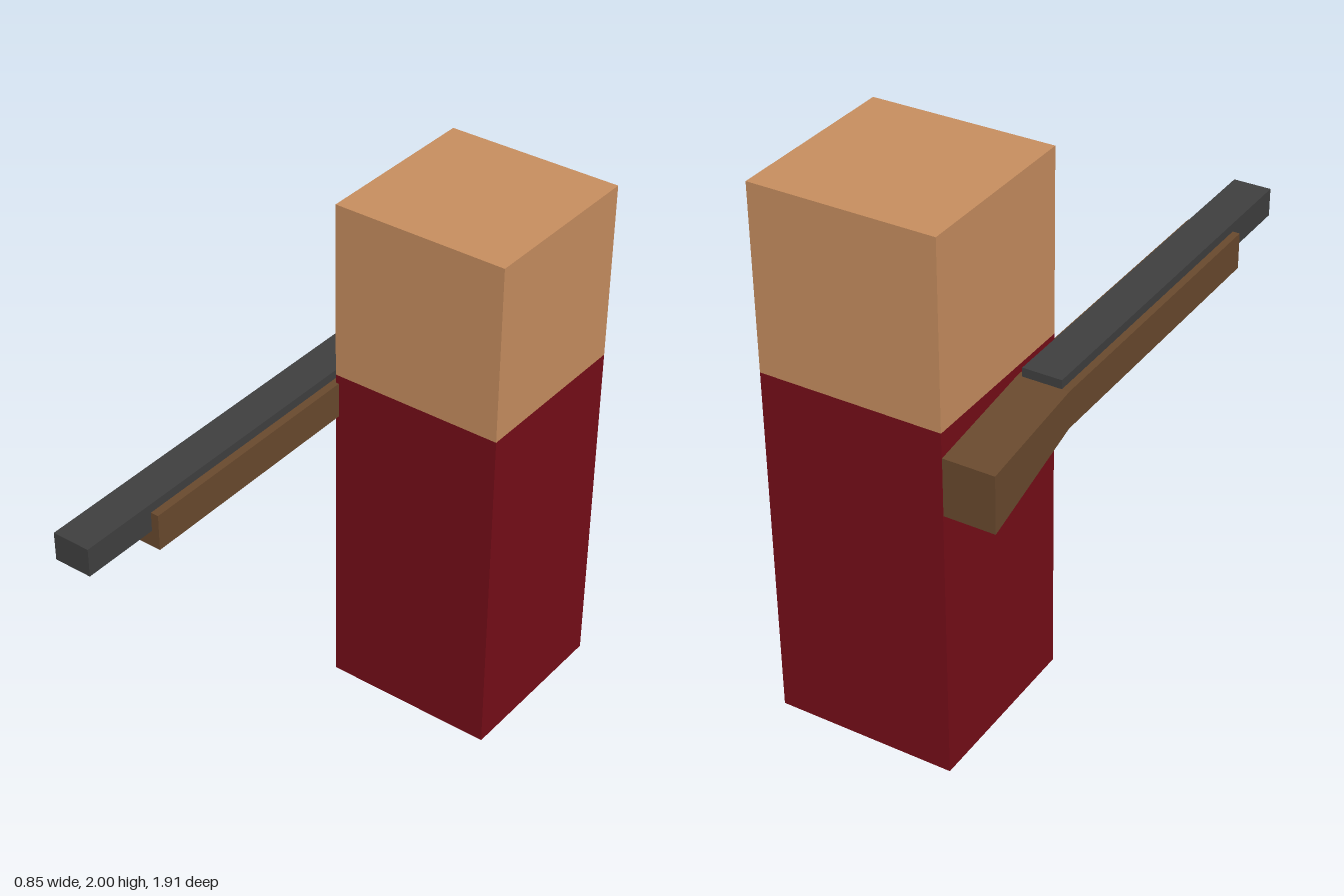
import * as THREE from 'three';

const material = (color) => new THREE.MeshStandardMaterial({ color, flatShading: true });

// Box given by its min and max corners
function box(name, color, min, max) {
  const size = max.map((v, i) => v - min[i]);
  const mesh = new THREE.Mesh(new THREE.BoxGeometry(...size), material(color));
  mesh.position.set(...min.map((v, i) => (v + max[i]) / 2));
  mesh.name = name;
  return mesh;
}

export function createModel() {
  const model = new THREE.Group();
  model.name = 'blockFigure';

  // Square body with a cube head on top
  model.add(box('body', 0x770d18, [-0.24, 0, -0.955], [0.427, 1.333, -0.288]));
  model.add(box('head', 0xc98f60, [-0.24, 1.333, -0.955], [0.427, 2, -0.288]));

  // Barrel lying along the top of the stock
  model.add(box('barrel', 0x404040, [-0.4, 1.227, -0.515], [-0.257, 1.333, 0.955]));

  // Stock: side profile (z, y), straight fore-end and a butt that drops to the rear
  const profile = new THREE.Shape([
    [0.66, 1.163], [0.66, 1.3], [-0.515, 1.3],
    [-0.953, 1.243], [-0.953, 1.03], [-0.515, 1.163],
  ].map(([z, y]) => new THREE.Vector2(z, y)));
  const geometry = new THREE.ExtrudeGeometry(profile, { depth: 0.2, bevelEnabled: false });
  geometry.rotateY(-Math.PI / 2).translate(-0.227, 0, 0);
  const stock = new THREE.Mesh(geometry, material(0x6a4a2e));
  stock.name = 'stock';
  model.add(stock);

  return model;
}
